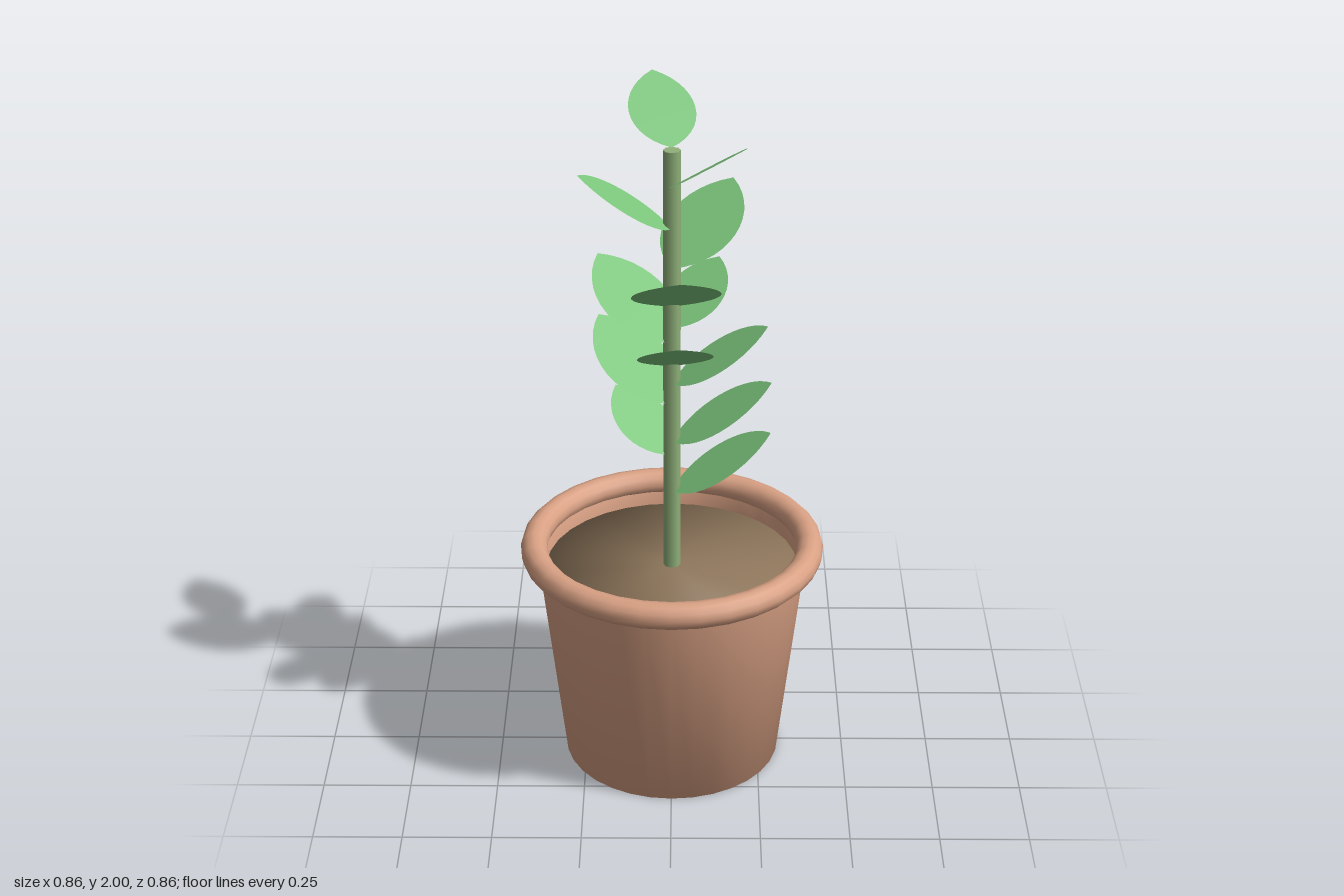
import * as THREE from 'three';

const SLOPE = 0.66; // rise of every leaf per unit of outward reach

const material = (color, side = THREE.FrontSide) => new THREE.MeshStandardMaterial({ color, side });

function lathe(name, profile, mat) {
  const points = profile.map(([r, y]) => new THREE.Vector2(r, y));
  const mesh = new THREE.Mesh(new THREE.LatheGeometry(points, 32), mat);
  mesh.name = name;
  return mesh;
}

// Flat pointed leaf of unit length, growing from the origin towards -z
function leafGeometry() {
  const shape = new THREE.Shape();
  shape.moveTo(0, 0);
  shape.bezierCurveTo(0.467, 0.2, 0.467, 0.75, 0, 1);
  shape.bezierCurveTo(-0.467, 0.75, -0.467, 0.2, 0, 0);
  return new THREE.ShapeGeometry(shape, 14).rotateX(-Math.PI / 2);
}

export function createModel() {
  const model = new THREE.Group();
  model.name = 'pottedPlant';
  const clay = material(0xd9a184, THREE.DoubleSide);

  // Tapered pot with a thin wall, and a round rim
  model.add(lathe('pot', [[0, 0], [0.31, 0], [0.385, 0.655], [0.365, 0.655], [0.358, 0.58]], clay));
  const rim = new THREE.Mesh(new THREE.TorusGeometry(0.392, 0.038, 12, 32).rotateX(Math.PI / 2), clay);
  rim.name = 'rim';
  rim.position.y = 0.657;
  model.add(rim);

  // Soil plug with a softly rounded shading towards its edge
  model.add(lathe('soil', [[0.3, 0.15], [0.358, 0.595], [0, 0.595]], material(0x8f775c)));

  // Stem
  const stem = new THREE.Mesh(new THREE.CylinderGeometry(0.024, 0.024, 1.27, 8), material(0x8fb07a));
  stem.name = 'stem';
  stem.position.y = 1.215;
  model.add(stem);

  // Leaves, given by the position of their tips, from the lowest up
  const tips = [
    [0.275, 1.015, 0], [-0.16, 1.09, -0.15], [0.275, 1.17, 0], [-0.207, 1.29, -0.19],
    [0.262, 1.34, 0], [0.02, 1.383, 0.245], [-0.207, 1.475, -0.19], [0.13, 1.475, -0.17],
    [0.025, 1.588, 0.285], [0.167, 1.69, -0.215], [-0.25, 1.795, 0.045], [0.195, 1.9, 0.125],
    [-0.055, 2, -0.21],
  ];
  const leafShape = leafGeometry();
  const leafGreen = material(0x7cc67c, THREE.DoubleSide);
  const leaves = new THREE.Group();
  leaves.name = 'leaves';
  tips.forEach(([x, y, z], i) => {
    const reach = Math.hypot(x, z);
    const leaf = new THREE.Mesh(leafShape, leafGreen);
    leaf.name = `leaf${i + 1}`;
    leaf.position.y = y - reach * SLOPE;
    leaf.rotation.set(Math.atan(SLOPE), Math.atan2(-x, -z), 0, 'YXZ');
    leaf.scale.setScalar(reach * Math.hypot(1, SLOPE));
    leaves.add(leaf);
  });
  model.add(leaves);
  return model;
}
